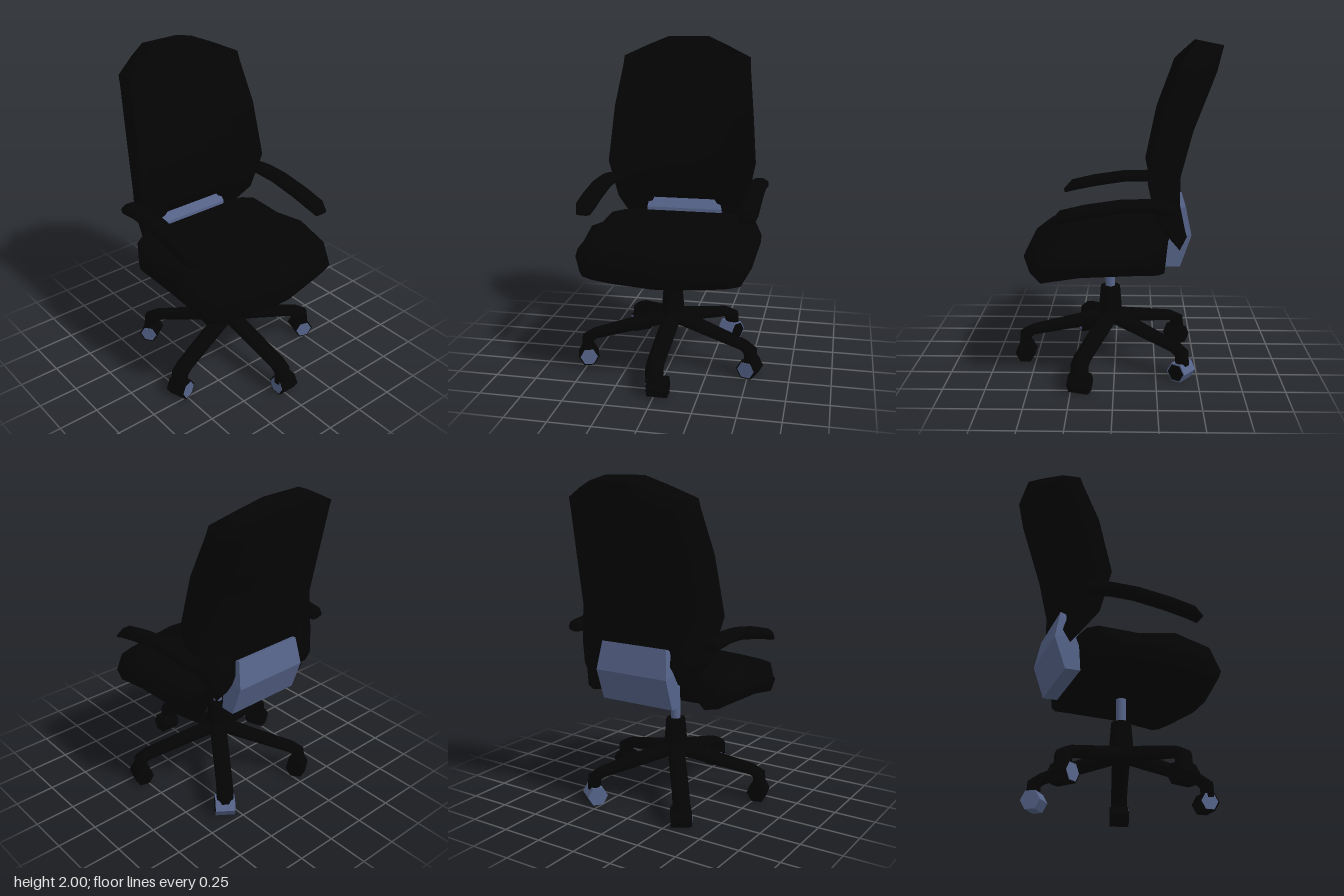
import * as THREE from 'three';
import { toCreasedNormals } from 'three/addons/utils/BufferGeometryUtils.js';

const black = new THREE.MeshStandardMaterial({ color: 0x040404 });
const steel = new THREE.MeshStandardMaterial({ color: 0x56648a });

// Skin a list of equal closed rings of [x, y, z] points, closing both ends with strips
function loft(rings, crease = 1.5) {
  const n = rings[0].length, idx = [];
  const quad = (a, b, c, d) => idx.push(a, b, c, a, c, d);
  for (let i = 0; i < rings.length - 1; i++) {
    for (let j = 0; j < n; j++) {
      const k = (j + 1) % n;
      quad(i * n + j, i * n + k, (i + 1) * n + k, (i + 1) * n + j);
    }
  }
  const end = (rings.length - 1) * n;
  for (let j = 0; j < n / 2 - 1; j++) {
    quad(n - 1 - j, n - 2 - j, j + 1, j);
    quad(end + j, end + j + 1, end + n - 2 - j, end + n - 1 - j);
  }
  // Turn the faces outward if the rings run the other way round
  const p = rings.flat().map((q) => new THREE.Vector3(...q));
  let volume = 0;
  const cross = new THREE.Vector3();
  for (let i = 0; i < idx.length; i += 3) {
    volume += p[idx[i]].dot(cross.crossVectors(p[idx[i + 1]], p[idx[i + 2]]));
  }
  if (volume < 0) idx.reverse();
  const g = new THREE.BufferGeometry().setFromPoints(p);
  g.setIndex(idx);
  return toCreasedNormals(g, crease);
}

// Sweep an octagon along a path of [x, y, halfWidth, halfHeight]
function sweep(path) {
  return loft(path.map(([x, y, w, h], i) => {
    const a = path[Math.max(i - 1, 0)], b = path[Math.min(i + 1, path.length - 1)];
    const t = Math.atan2(b[1] - a[1], b[0] - a[0]);
    return Array.from({ length: 8 }, (_, j) => {
      const f = (j + 0.5) * Math.PI / 4, s = h * Math.sin(f) * 1.08;
      return [x - Math.sin(t) * s, y + Math.cos(t) * s, w * Math.cos(f) * 1.08];
    });
  }));
}

function add(parent, name, geometry, material, x = 0, y = 0, z = 0) {
  const m = new THREE.Mesh(geometry, material);
  m.name = name;
  m.position.set(x, y, z);
  parent.add(m);
  return m;
}

function seatGeometry() {
  // the last point is the rear of the underside, which is hollowed between the sides
  const profile = [[-0.33, 0.88], [-0.2, 0.876], [-0.05, 0.87], [0.23, 0.91], [0.49, 0.84],
    [0.57, 0.68], [0.51, 0.62], [0.23, 0.66], [-0.18, 0.677], [-0.31, 0.68]];
  // halfwidth, front scale, rear scale, height scale, rise of the rear underside
  const half = [[0.525, 0.6, 0.6, 0.22, 0], [0.47, 0.8, 0.84, 0.86, 0], [0.4, 0.84, 0.95, 0.95, 0],
    [0.27, 0.895, 1, 1, 0.15], [0.03, 1, 1, 1, 0.15]];
  const mirrored = half.map(([z, ...s]) => [-z, ...s]).reverse();
  return loft([...half, ...mirrored].map(([z, f, r, h, rise]) => profile.map(([x, y], i) =>
    [0.05 + (x - 0.05) * (x > 0.05 ? f : r), 0.76 + (y - 0.76) * h + (i === 9 ? rise : 0), z])));
}

function backrestGeometry() {
  // each row: inner and outer column as [z, xFront, yFront, xRear, yRear], then blend between them
  const rows = [
    [[0.13, -0.48, 2.0, -0.63, 1.97], [0.40, -0.37, 1.88, -0.48, 1.87], 0.42],
    [[0.16, -0.45, 1.85, -0.59, 1.82], [0.405, -0.35, 1.82, -0.46, 1.8], 0.45],
    [[0.22, -0.335, 1.57, -0.455, 1.48], [0.44, -0.26, 1.57, -0.37, 1.5], 0.42],
    [[0.25, -0.255, 1.22, -0.385, 1.22], [0.468, -0.19, 1.22, -0.29, 1.22], 0.42],
    [[0.22, -0.285, 1.05, -0.385, 1.05], [0.42, -0.245, 0.98, -0.36, 1.0], 0.5],
    [[0.2, -0.325, 0.965, -0.39, 0.98], [0.36, -0.38, 0.81, -0.42, 0.89], 0.85],
  ];
  return loft(rows.map(([a, b, t]) => {
    const mid = a.map((v, i) => THREE.MathUtils.lerp(v, b[i], i ? t : 0.45));
    const cols = [b, mid, a].map(([z, ...r]) => [-z, ...r]).concat([a, mid, b]);
    const front = cols.map(([z, xf, yf]) => [xf, yf, z]);
    const rear = cols.map(([z, , , xr, yr]) => [xr, yr, z]);
    return [...front, ...rear.reverse()];
  }));
}

// Bent bracket joining seat and backrest, slightly narrower at the top
function bracketGeometry() {
  const profile = [[-0.42, 1.04], [-0.455, 0.87], [-0.39, 0.68],
    [-0.3, 0.68], [-0.315, 0.9], [-0.39, 1.03]];
  return loft([-1, 1].map((s) => profile.map(([x, y]) => [x, y, s * (y > 1 ? 0.225 : 0.245)])), 0.1);
}

function hexagon(radius, length) {
  const g = new THREE.CylinderGeometry(radius, radius, length, 6, 1, false, Math.PI / 6);
  return toCreasedNormals(g.rotateX(Math.PI / 2), 0.5);
}

export function createModel() {
  const chair = new THREE.Group();
  chair.name = 'officeChair';
  add(chair, 'seat', seatGeometry(), black);
  add(chair, 'backrest', backrestGeometry(), black);
  add(chair, 'backBracket', bracketGeometry(), steel);

  // Armrests
  const arm = sweep([[-0.355, 1.07, 0.04, 0.022], [-0.32, 1.085, 0.058, 0.035], [-0.2, 1.1, 0.058, 0.035],
    [-0.05, 1.097, 0.058, 0.035], [0.15, 1.067, 0.058, 0.036], [0.29, 1.036, 0.058, 0.034],
    [0.347, 0.998, 0.042, 0.012]]);
  for (const s of [1, -1]) add(chair, s > 0 ? 'leftArmrest' : 'rightArmrest', arm, black, 0, 0, s * 0.484 - 0.007);

  // Swivel base: post, hub and five legs with casters
  const base = new THREE.Group();
  base.name = 'base';
  base.position.x = 0.03;
  chair.add(base);
  add(base, 'gasPost', new THREE.CylinderGeometry(0.03, 0.03, 0.195, 12), steel, 0, 0.5375);
  add(base, 'hub', new THREE.CylinderGeometry(0.06, 0.078, 0.22, 12), black, 0, 0.375);

  const leg = sweep([[0, 0.283, 0.052, 0.043], [0.07, 0.28, 0.052, 0.043], [0.49, 0.188, 0.05, 0.03],
    [0.537, 0.16, 0.05, 0.038], [0.543, 0.08, 0.05, 0.036]]);
  const wheel = hexagon(0.063, 0.12), cap = hexagon(0.054, 0.006);
  // which side of each caster carries its cap
  [1, 1, 1, -1, -1].forEach((side, i) => {
    const spoke = new THREE.Group();
    spoke.name = 'spoke' + (i + 1);
    spoke.rotation.y = i * Math.PI * 2 / 5;
    base.add(spoke);
    add(spoke, 'leg', leg, black);
    // One caster has its two colours swapped
    const [rim, face] = i === 2 ? [steel, black] : [black, steel];
    const offset = i === 0 ? -0.02 : 0;
    add(spoke, 'casterWheel', wheel, rim, 0.535, 0.0546, offset);
    add(spoke, 'casterCap', cap, face, 0.535, 0.0546, offset + side * 0.0595);
  });
  return chair;
}
